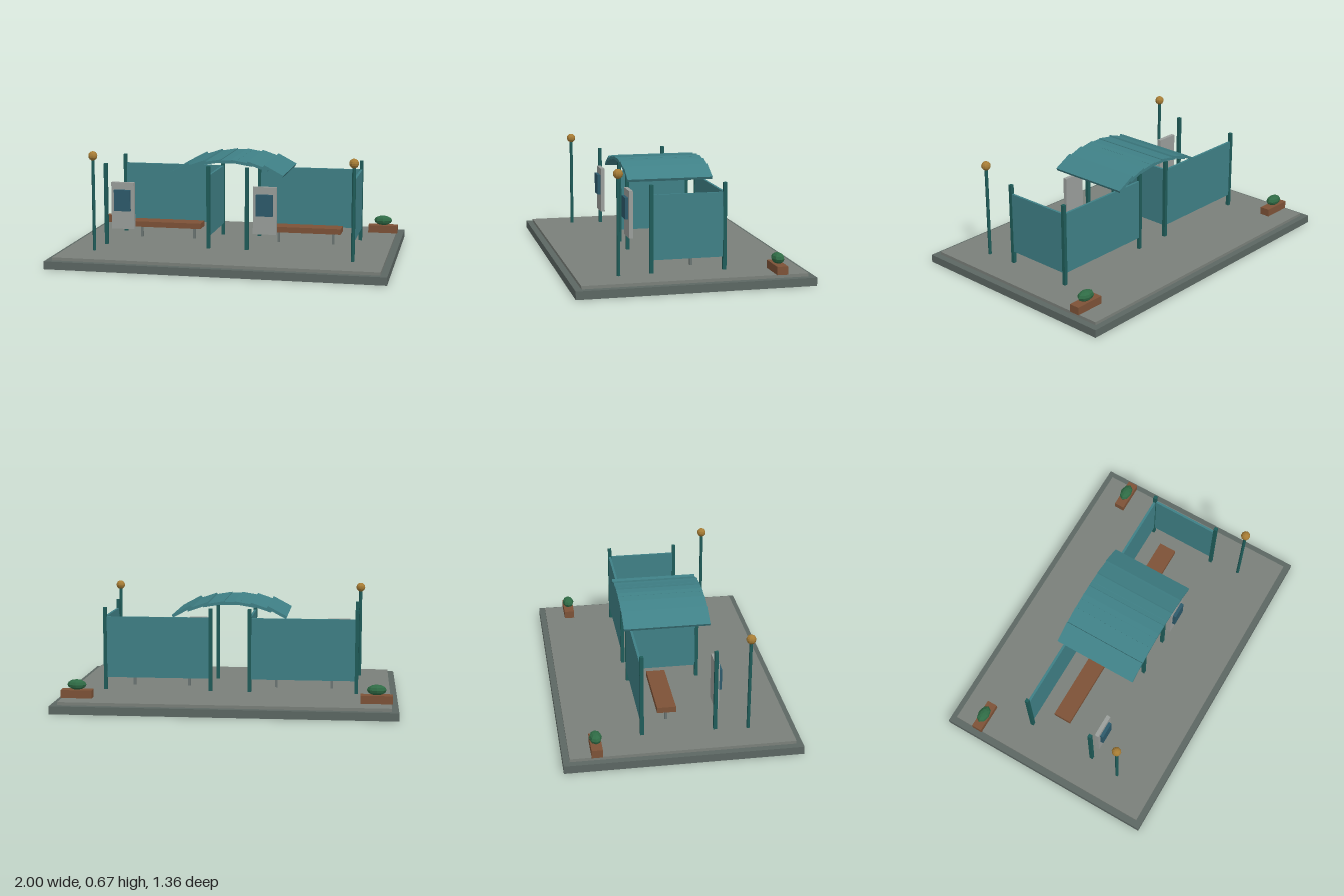
import * as THREE from 'three';

const mat = (color) => new THREE.MeshStandardMaterial({ color, flatShading: true });
const MATS = {
  kerb: mat(0x5c6763), paving: mat(0x7a807a), post: mat(0x1f5c59), panel: mat(0x3f8086),
  wood: mat(0x7d5237), metal: mat(0x6b7573), board: mat(0x9a9e9b), poster: mat(0x2d5a6b),
  globe: mat(0xa67c35), leaf: mat(0x2f6b45),
};

function add(parent, name, geometry, material, x, y, z) {
  const mesh = new THREE.Mesh(geometry, material);
  mesh.name = name;
  mesh.position.set(x, y, z);
  parent.add(mesh);
  return mesh;
}

const box = (parent, name, material, [w, h, d], [x, y, z]) =>
  add(parent, name, new THREE.BoxGeometry(w, h, d), material, x, y, z);

const FLOOR = 0.065;

// One waiting bay: posts, back and side screens, bench and notice board
function createShelter() {
  const bay = new THREE.Group();
  bay.name = 'shelter';
  const hx = 0.32, hz = 0.213;
  for (const x of [-hx, hx]) {
    for (const z of [-hz, hz]) {
      box(bay, 'post', MATS.post, [0.021, 0.5, 0.021], [x, FLOOR + 0.25, z]);
    }
  }
  box(bay, 'backPanel', MATS.panel, [2 * hx, 0.37, 0.014], [0, 0.325, -hz]);
  box(bay, 'sidePanel', MATS.panel, [0.014, 0.37, 2 * hz], [hx, 0.325, 0]);

  // Bench
  box(bay, 'benchSeat', MATS.wood, [0.442, 0.034, 0.11], [0, 0.153, -0.055]);
  for (const x of [-0.17, 0.17]) {
    box(bay, 'benchLeg', MATS.metal, [0.015, 0.075, 0.015], [x, FLOOR + 0.0375, -0.053]);
  }

  // Notice board with its poster
  box(bay, 'noticeBoard', MATS.board, [0.142, 0.286, 0.024], [-0.207, 0.312, 0.23]);
  box(bay, 'poster', MATS.poster, [0.1, 0.13, 0.019], [-0.207, 0.346, 0.2515]);
  return bay;
}

// Arched roof of overlapping straight slats
function createRoof() {
  const roof = new THREE.Group();
  roof.name = 'archedRoof';
  for (let i = -3; i <= 3; i++) {
    const x = i * 0.0945;
    const slat = box(roof, 'roofSlat', MATS.panel, [0.13, 0.017, 0.516],
      [x, 0.602 - 0.05 * (i / 3) ** 2, 0]);
    slat.rotation.z = -THREE.MathUtils.degToRad(9.4 * i);
  }
  return roof;
}

function createLamp() {
  const lamp = new THREE.Group();
  lamp.name = 'lamp';
  add(lamp, 'lampPole', new THREE.CylinderGeometry(0.01, 0.01, 0.56, 8), MATS.post, 0, FLOOR + 0.28, 0);
  add(lamp, 'lampGlobe', new THREE.SphereGeometry(0.028, 10, 8), MATS.globe, 0, 0.637, 0);
  return lamp;
}

function createPlanter() {
  const planter = new THREE.Group();
  planter.name = 'planter';
  box(planter, 'planterBox', MATS.wood, [0.184, 0.047, 0.063], [0, FLOOR + 0.0235, 0]);
  add(planter, 'shrub', new THREE.SphereGeometry(1, 8, 6), MATS.leaf, 0, 0.142, 0)
    .scale.set(0.057, 0.031, 0.036);
  return planter;
}

export function createModel() {
  const model = new THREE.Group();
  model.name = 'tramStop';

  // Stepped platform
  box(model, 'platformBase', MATS.kerb, [2, 0.047, 1.362], [0, 0.0235, 0]);
  box(model, 'platformPaving', MATS.paving, [1.92, 0.02, 1.288], [0, 0.055, 0]);

  model.add(createRoof());
  for (const side of [-1, 1]) {
    const shelter = createShelter();
    shelter.position.x = side * 0.438;
    const lamp = createLamp();
    lamp.position.set(side * 0.777, 0, 0.403);
    const planter = createPlanter();
    planter.position.set(side * 0.875, 0, -0.49);
    model.add(shelter, lamp, planter);
  }
  return model;
}
